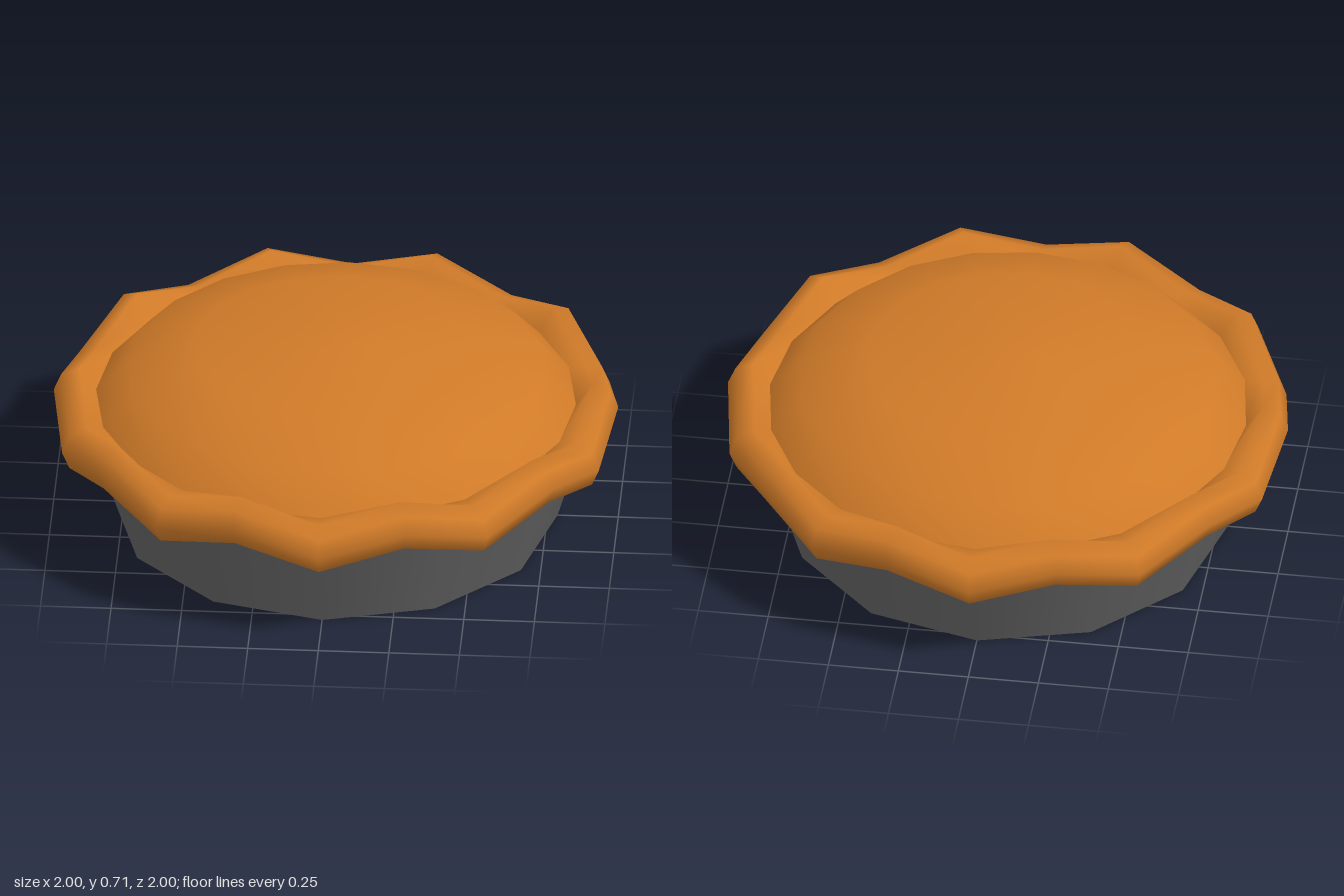
import * as THREE from 'three';
import { mergeVertices } from 'three/addons/utils/BufferGeometryUtils.js';

const SIDES = 20;
const EDGE_RADIUS = 0.85, EDGE_HEIGHT = 0.455; // where the lid meets the crimped rim

const lathe = (pairs) =>
  new THREE.LatheGeometry(pairs.map(([r, y]) => new THREE.Vector2(r, y)), SIDES);

// Rolled rim whose height alternates from one corner to the next
function crimpedRim() {
  const r = 0.09, centre = 0.91;
  const profile = [[0.82, -0.02], [0.846, -0.064]];
  for (let i = -2; i <= 2; i++) {
    const a = (i * Math.PI) / 4;
    profile.push([centre + r * Math.cos(a), r * Math.sin(a)]);
  }
  profile.push([EDGE_RADIUS, 0]);
  const geometry = lathe(profile);
  const p = geometry.attributes.position;
  for (let i = 0; i < p.count; i++) {
    const column = Math.floor(i / profile.length);
    const inner = i % profile.length === profile.length - 1;
    p.setY(i, inner ? EDGE_HEIGHT : p.getY(i) + (column % 2 ? 0.45 : 0.37));
  }
  // Weld the seam so the shading stays smooth all round
  geometry.deleteAttribute('normal');
  geometry.deleteAttribute('uv');
  const welded = mergeVertices(geometry);
  welded.computeVertexNormals();
  return welded;
}

export function createModel() {
  const pastry = new THREE.MeshStandardMaterial({ color: 0xcf7a28 });
  pastry.name = 'pastry';
  const metal = new THREE.MeshStandardMaterial({ color: 0x626262 });
  metal.name = 'darkMetal';

  const model = new THREE.Group();
  model.name = 'pie';
  const add = (name, geometry, material) => {
    const mesh = new THREE.Mesh(geometry, material);
    mesh.name = name;
    model.add(mesh);
    return mesh;
  };

  // Tapered twelve-sided tin
  add('tin', new THREE.CylinderGeometry(0.905, 0.785, 0.4, 12), metal).position.y = 0.2;

  // Domed lid
  add('lid', lathe([[EDGE_RADIUS, EDGE_HEIGHT], [0.74, 0.575], [0.5, 0.66], [0.13, 0.704], [0, 0.706]]), pastry);

  // Wavy crust around the lid
  add('crust', crimpedRim(), pastry);

  return model;
}
